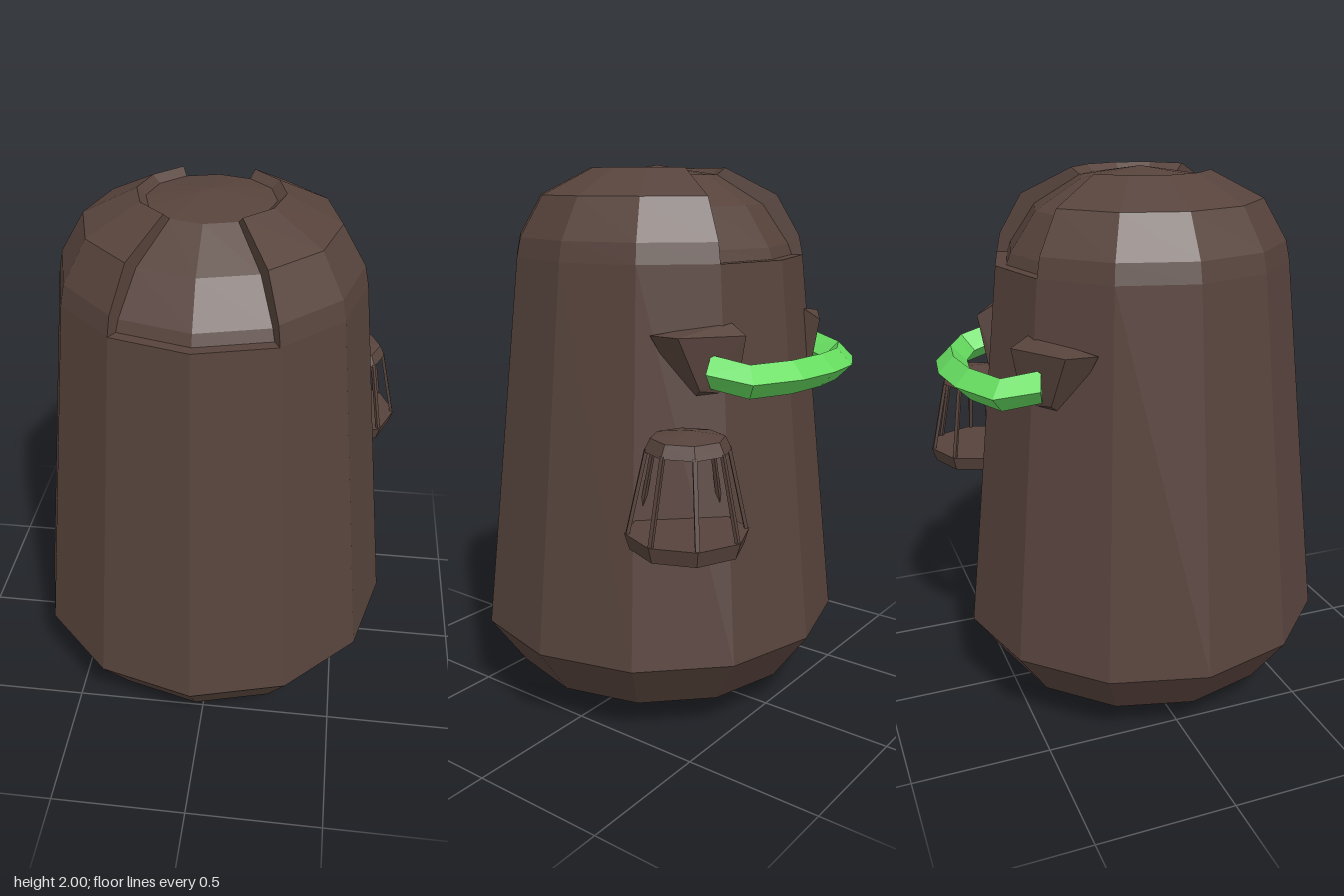
import * as THREE from 'three';
import { ConvexGeometry } from 'three/addons/geometries/ConvexGeometry.js';

const pts = (list) => list.map(([r, y]) => new THREE.Vector2(r, y));

function add(parent, name, geometry, material) {
  const mesh = new THREE.Mesh(geometry, material);
  mesh.name = name;
  parent.add(mesh);
  return mesh;
}

// Sweeps a diamond cross-section along a path of points
function diamondBar(path, size) {
  const pos = [], index = [];
  path.forEach((p, i) => {
    const a = path[Math.max(i - 1, 0)], b = path[Math.min(i + 1, path.length - 1)];
    const t = b.clone().sub(a).setY(0).normalize();
    const n = new THREE.Vector3(t.z, 0, -t.x);
    for (const [u, v] of [[1, 0], [0, 1], [-1, 0], [0, -1]]) {
      pos.push(p.x + n.x * u * size, p.y + v * size, p.z + n.z * u * size);
    }
  });
  for (let i = 0; i < path.length - 1; i++) {
    for (let j = 0; j < 4; j++) {
      const a = i * 4 + j, b = i * 4 + (j + 1) % 4;
      index.push(a, b, a + 4, b, b + 4, a + 4);
    }
  }
  const e = (path.length - 1) * 4;
  index.push(0, 2, 1, 0, 3, 2, e, e + 1, e + 2, e, e + 2, e + 3);
  const g = new THREE.BufferGeometry();
  g.setAttribute('position', new THREE.Float32BufferAttribute(pos, 3));
  g.setIndex(index);
  g.computeVertexNormals();
  return g;
}

export function createModel() {
  const root = new THREE.Group();
  root.name = 'barrelPod';
  const model = new THREE.Group();
  model.name = 'pod';
  model.position.set(-0.017, 0, 0.035);
  root.add(model);

  const brown = new THREE.MeshStandardMaterial({ color: 0x57433c, flatShading: true, side: THREE.DoubleSide });
  brown.name = 'brown';
  const green = new THREE.MeshStandardMaterial({ color: 0x66dd60, flatShading: true, side: THREE.DoubleSide });
  green.name = 'green';

  // Twelve-sided body with a ledge and a recessed inner dome
  const inner = [[0.5, 1.68], [0.485, 1.72], [0.39, 1.86], [0.22, 1.965]];
  add(model, 'body', new THREE.LatheGeometry(pts([
    [0, 0], [0.295, 0.045], [0.555, 0.12], [0.69, 0.31], [0.54, 1.68], ...inner, [0, 2],
  ]), 12), brown);

  // Raised shells on both sides of the dome, closed by end walls
  const outer = [[0.54, 1.68], [0.525, 1.75], [0.44, 1.895], [0.25, 1.99], [0.22, 1.965]];
  const wall = new THREE.Shape(pts([...outer, ...inner.slice(0, 3).reverse()]));
  for (const [side, start] of [['left', Math.PI / 6], ['right', Math.PI * 7 / 6]]) {
    const shell = new THREE.Group();
    shell.name = side + 'DomeShell';
    model.add(shell);
    add(shell, 'shellSurface', new THREE.LatheGeometry(pts(outer), 4, start, Math.PI * 2 / 3), brown);
    for (const phi of [start, start + Math.PI * 2 / 3]) {
      add(shell, 'shellEndWall', new THREE.ShapeGeometry(wall), brown).rotation.y = phi - Math.PI / 2;
    }
  }

  // Slanted brackets on the back
  const bracket = [
    [0.465, 1.455, -0.325], [0.24, 1.49, -0.49], [0.35, 1.22, -0.40], [0.235, 1.22, -0.49],
    [0.46, 1.455, -0.435], [0.25, 1.45, -0.56], [0.37, 1.27, -0.46], [0.25, 1.25, -0.525],
  ];
  for (const s of [1, -1]) {
    add(model, s > 0 ? 'leftBracket' : 'rightBracket',
      new ConvexGeometry(bracket.map(([x, y, z]) => new THREE.Vector3(x * s, y, z))), brown);
  }

  // Curved handle between the brackets
  const half = [[0.345, 1.335, -0.485], [0.305, 1.31, -0.612], [0.155, 1.312, -0.683]];
  const path = [
    ...half.map(([x, y, z]) => new THREE.Vector3(-x, y, z)),
    new THREE.Vector3(0, 1.315, -0.705),
    ...half.slice().reverse().map(([x, y, z]) => new THREE.Vector3(x, y, z)),
  ];
  add(model, 'handle', diamondBar(path, 0.057), green);

  // Eight-sided lantern at the back left
  const lantern = new THREE.Group();
  lantern.name = 'lantern';
  lantern.position.set(0.513, 0, -0.515);
  model.add(lantern);
  add(lantern, 'lanternBase', new THREE.LatheGeometry(pts([
    [0, 0.742], [0.19, 0.785], [0.207, 0.84], [0, 0.84],
  ]), 8), brown);
  add(lantern, 'lanternCap', new THREE.LatheGeometry(pts([
    [0, 1.112], [0.143, 1.112], [0.122, 1.155], [0, 1.177],
  ]), 8), brown);
  for (let i = 0; i < 8; i++) {
    const pivot = new THREE.Group();
    pivot.name = 'lanternBar';
    pivot.rotation.y = i * Math.PI / 4;
    lantern.add(pivot);
    const bar = add(pivot, 'bar', new THREE.BoxGeometry(0.014, 0.29, 0.012), brown);
    bar.position.set(0, 0.977, 0.165);
    bar.rotation.x = -Math.atan2(0.062, 0.28);
  }
  return root;
}
